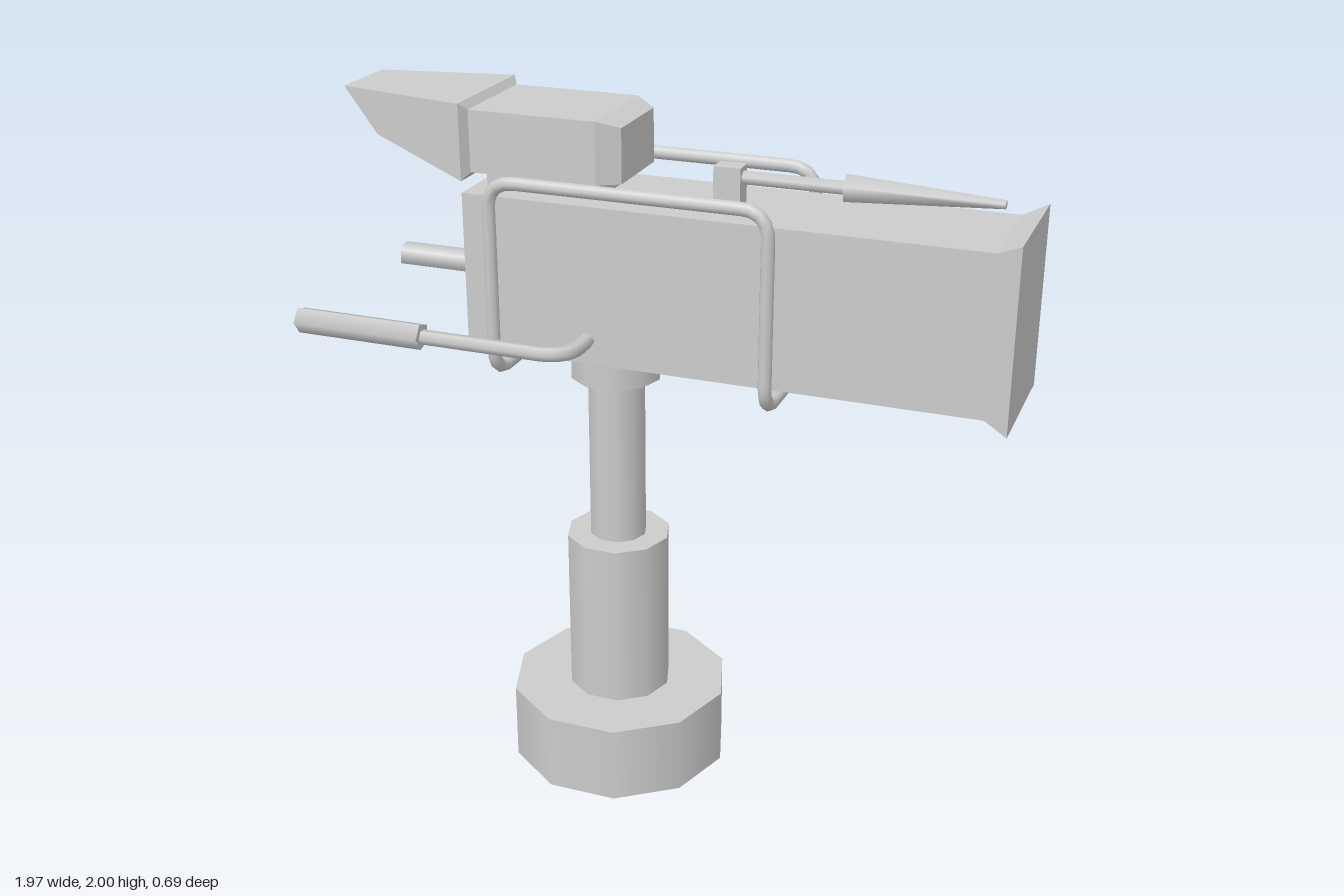
import * as THREE from 'three';

const material = new THREE.MeshStandardMaterial({ color: 0xcccccc });
const openMaterial = new THREE.MeshStandardMaterial({ color: 0xcccccc, side: THREE.DoubleSide });

function part(parent, name, geometry, mat = material) {
  const mesh = new THREE.Mesh(geometry, mat);
  mesh.name = name;
  parent.add(mesh);
  return mesh;
}

// Four-sided loft along x. Each section: [xTop, yTop, zTop, xBottom, yBottom, zBottom]
function loft(sections) {
  const rings = sections.map(([xt, yt, zt, xb, yb, zb]) => [
    [xt, yt, zt], [xt, yt, -zt], [xb, yb, -zb], [xb, yb, zb],
  ]);
  const pos = [];
  const quad = (a, b, c, d) => pos.push(...a, ...b, ...c, ...a, ...c, ...d);
  for (let i = 0; i < rings.length - 1; i++) {
    const a = rings[i], b = rings[i + 1];
    for (let k = 0; k < 4; k++) quad(a[k], b[k], b[(k + 1) % 4], a[(k + 1) % 4]);
  }
  const first = rings[0], last = rings[rings.length - 1];
  quad(first[0], first[1], first[2], first[3]);
  quad(last[0], last[3], last[2], last[1]);
  const g = new THREE.BufferGeometry();
  g.setAttribute('position', new THREE.Float32BufferAttribute(pos, 3));
  g.computeVertexNormals();
  return g;
}

// Upright section: same x at top and bottom
const upright = (x, top, bottom, z) => [x, top, z, x, bottom, z];

// Tube through corner points, each corner rounded with the given radius
function bentTube(points, bend, radius, sides, segments, closed) {
  const pts = points.map((p) => new THREE.Vector3(...p));
  const n = pts.length;
  const path = new THREE.CurvePath();
  const toward = (a, b) => a.clone().add(b.clone().sub(a).setLength(bend));
  let cursor = closed ? toward(pts[0], pts[1]) : pts[0];
  for (let i = 1; i < (closed ? n + 1 : n - 1); i++) {
    const p = pts[i % n];
    const before = toward(p, pts[i - 1]);
    const after = toward(p, pts[(i + 1) % n]);
    path.add(new THREE.LineCurve3(cursor, before));
    path.add(new THREE.QuadraticBezierCurve3(before, p, after));
    cursor = after;
  }
  if (!closed) path.add(new THREE.LineCurve3(cursor, pts[n - 1]));
  return new THREE.TubeGeometry(path, segments, radius, sides, closed);
}

// Five-sided rod along x; spin turns its first corner away from +z
function rod(x0, x1, r0, r1, y, z, spin) {
  return new THREE.CylinderGeometry(r1, r0, x1 - x0, 5)
    .rotateY(spin).rotateZ(-Math.PI / 2).translate((x0 + x1) / 2, y, z);
}

export function createModel() {
  const model = new THREE.Group();
  model.name = 'studioCamera';

  // Pedestal: ten-sided drums, hollow underneath
  const pedestal = new THREE.Group();
  pedestal.name = 'pedestal';
  pedestal.position.x = -0.16;
  model.add(pedestal);
  const drums = [
    ['base', 0.325, 0, 0.23],
    ['lowerColumn', 0.152, 0.23, 0.725],
    ['upperColumn', 0.083, 0.725, 1.31],
    ['mountCollar', 0.13, 1.22, 1.31],
  ];
  for (const [name, r, y0, y1] of drums) {
    const drum = new THREE.Group();
    drum.name = name;
    pedestal.add(drum);
    part(drum, name + 'Wall', new THREE.CylinderGeometry(r, r, y1 - y0, 10, 1, true)
      .rotateY(Math.PI / 2).translate(0, (y0 + y1) / 2, 0), openMaterial);
    part(drum, name + 'Top', new THREE.CircleGeometry(r, 10)
      .rotateX(-Math.PI / 2).translate(0, y1, 0), openMaterial);
  }

  // Camera body with flared lens end
  part(model, 'body', loft([
    upright(-0.535, 1.755, 1.31, 0.168),
    upright(0.915, 1.755, 1.31, 0.168),
    upright(0.98, 1.785, 1.28, 0.19),
  ]));

  // Viewfinder
  const viewfinder = new THREE.Group();
  viewfinder.name = 'viewfinder';
  model.add(viewfinder);
  part(viewfinder, 'viewfinderSupport',
    new THREE.BoxGeometry(0.325, 0.07, 0.2).translate(-0.328, 1.78, 0));
  part(viewfinder, 'viewfinderBox', loft([
    upright(-0.515, 1.98, 1.81, 0.153),
    upright(-0.15, 1.98, 1.81, 0.153),
    upright(-0.09, 1.96, 1.81, 0.117),
  ]));
  part(viewfinder, 'viewfinderHood', loft([
    [-0.91, 2.0, 0.105, -0.805, 1.88, 0.125],
    upright(-0.53, 2.0, 1.79, 0.178),
    upright(-0.513, 1.98, 1.81, 0.153),
  ]));

  // Guard rail wrapping both sides and passing under the body
  const rail = [[-0.435, 1.265], [-0.435, 1.81], [0.345, 1.81], [0.345, 1.265]];
  part(model, 'guardRail', bentTube([
    ...rail.map(([x, y]) => [x, y, 0.212]),
    ...rail.slice().reverse().map(([x, y]) => [x, y, -0.212]),
  ], 0.075, 0.019, 8, 160, true));

  // Pan handles
  for (const s of [1, -1]) {
    const handle = new THREE.Group();
    handle.name = s > 0 ? 'leftPanHandle' : 'rightPanHandle';
    model.add(handle);
    part(handle, 'handleRod', bentTube([
      [-0.61, 1.38, 0.305 * s], [-0.175, 1.38, 0.305 * s], [-0.175, 1.38, 0.15 * s],
    ], 0.09, 0.021, 6, 30, false));
    part(handle, 'handleGrip',
      rod(-0.985, -0.605, 0.038, 0.038, 1.383, 0.307 * s, s > 0 ? 0 : Math.PI));
  }

  // Microphone on a small stand
  const microphone = new THREE.Group();
  microphone.name = 'microphone';
  model.add(microphone);
  part(microphone, 'microphoneStand',
    new THREE.BoxGeometry(0.075, 0.11, 0.055).translate(0.17, 1.803, 0));
  part(microphone, 'microphoneStem', rod(0.2, 0.49, 0.019, 0.019, 1.828, 0, -Math.PI / 2));
  part(microphone, 'microphoneHead', rod(0.485, 0.9, 0.038, 0.012, 1.828, 0, -Math.PI / 2));

  return model;
}
